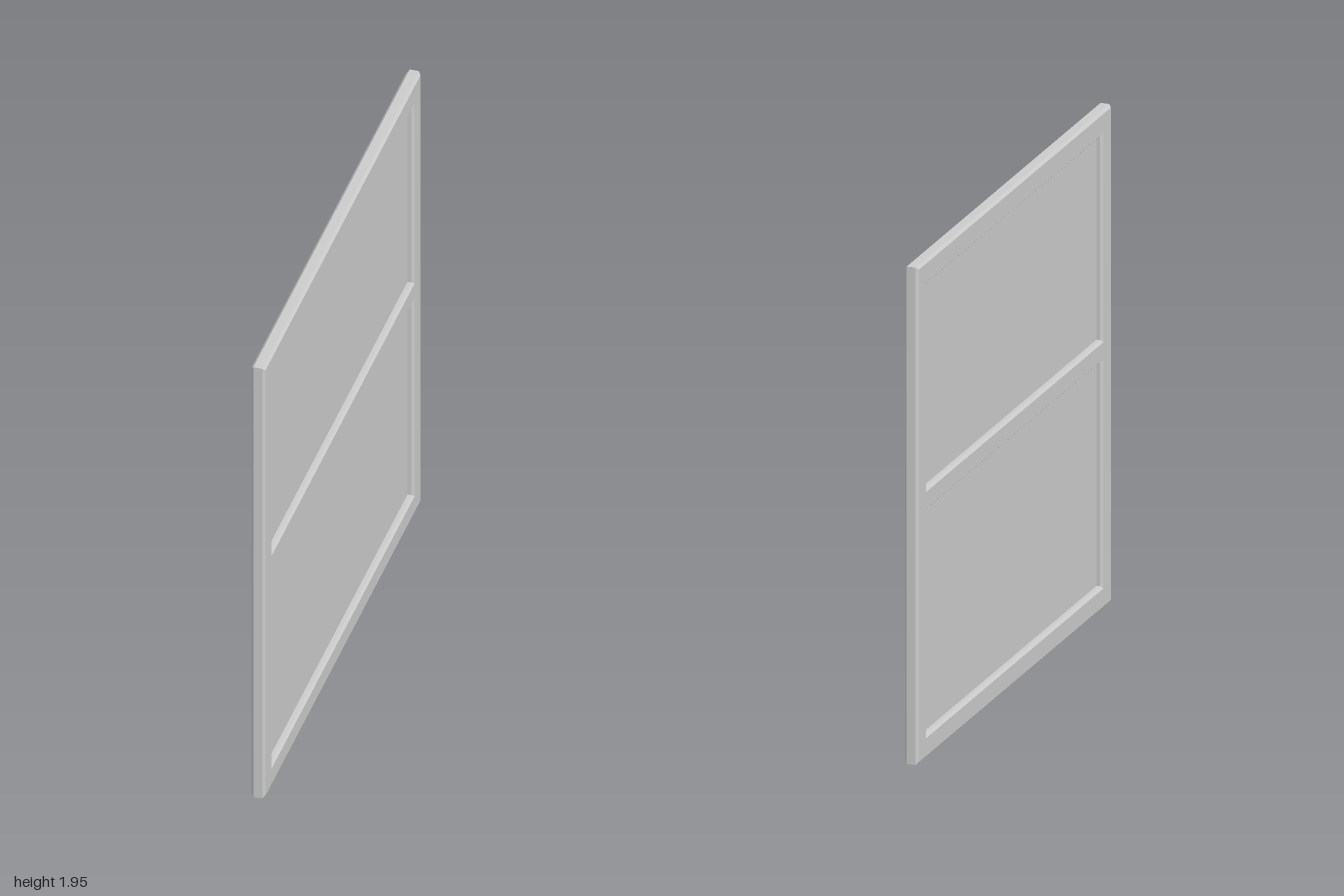
import * as THREE from 'three';

const HEIGHT = 1.95, WIDTH = 2, DEPTH = 0.055, BEVEL = 0.01;
const OPENING_HALF = 0.905;
const OPENINGS = [[0.09, 0.97], [1.055, 1.855]]; // bottom and top of each opening

// Rectangle outline; x is the width direction, y is up
function rect(path, x0, y0, x1, y1) {
  path.moveTo(x0, y0);
  path.lineTo(x1, y0);
  path.lineTo(x1, y1);
  path.lineTo(x0, y1);
  path.closePath();
  return path;
}

export function createModel() {
  const group = new THREE.Group();
  group.name = 'windowSash';
  const material = new THREE.MeshStandardMaterial({ color: 0xcccccc });

  // Chamfered frame with two openings divided by a crossbar
  const shape = rect(new THREE.Shape(), -WIDTH / 2, 0, WIDTH / 2, HEIGHT);
  for (const [y0, y1] of OPENINGS) {
    shape.holes.push(rect(new THREE.Path(), -OPENING_HALF, y0, OPENING_HALF, y1));
  }
  const core = DEPTH - 2 * BEVEL;
  const frameGeometry = new THREE.ExtrudeGeometry(shape, {
    depth: core,
    bevelEnabled: true,
    bevelSize: BEVEL,
    bevelThickness: BEVEL,
    bevelOffset: -BEVEL,
    bevelSegments: 1,
  });
  frameGeometry.translate(0, 0, -core / 2).rotateY(Math.PI / 2);
  const frame = new THREE.Mesh(frameGeometry, material);
  frame.name = 'frame';
  group.add(frame);

  // Thin panes seated in the middle of the frame
  OPENINGS.forEach(([y0, y1], i) => {
    const pane = new THREE.Mesh(
      new THREE.BoxGeometry(0.006, y1 - y0 + 0.01, 2 * OPENING_HALF + 0.01), material);
    pane.position.y = (y0 + y1) / 2;
    pane.name = i === 0 ? 'lowerPane' : 'upperPane';
    group.add(pane);
  });

  return group;
}
